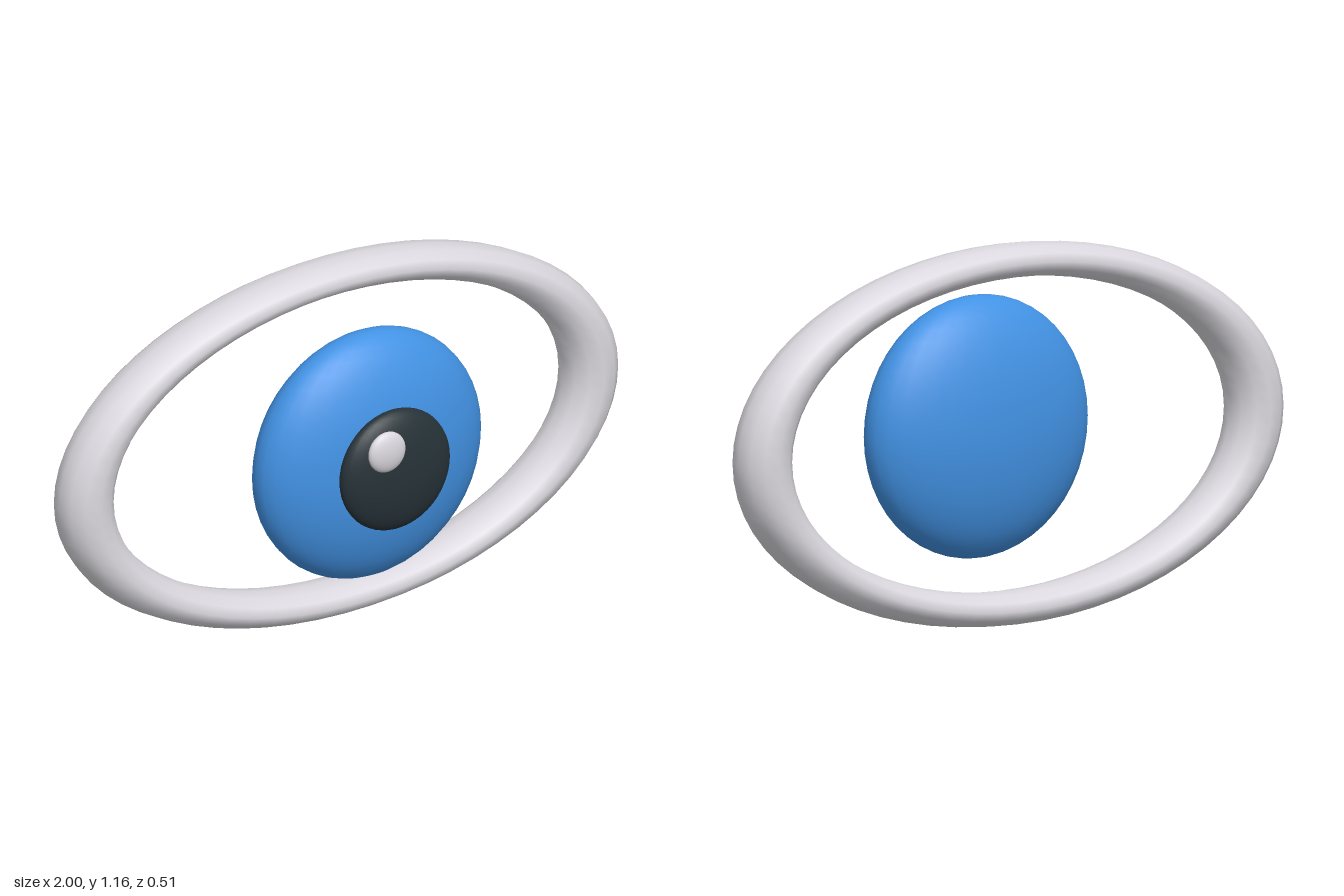
import * as THREE from 'three';

export function createModel() {
  const model = new THREE.Group();
  model.name = 'eye';

  const material = (name, color) => {
    const m = new THREE.MeshStandardMaterial({ color });
    m.name = name;
    return m;
  };
  const paleGrey = material('pale grey', 0xdad8de);
  const blue = material('blue', 0x4292e4);
  const black = material('blue black', 0x263238);

  const add = (name, geometry, mat, position, scale) => {
    const mesh = new THREE.Mesh(geometry, mat);
    mesh.name = name;
    mesh.position.set(...position);
    mesh.scale.set(...scale);
    model.add(mesh);
  };

  // Oval rim behind the eyeball
  add('eyelidRing', new THREE.TorusGeometry(0.91, 0.09, 12, 64), paleGrey,
    [0, 0.58, -0.165], [1, 0.58, 1]);

  // Flattened spheres stacked towards the front
  const ball = new THREE.SphereGeometry(1, 32, 24);
  add('iris', ball, blue, [0, 0.582, 0], [0.4, 0.4, 0.16]);
  add('pupil', ball, black, [0, 0.583, 0.152], [0.195, 0.195, 0.062]);
  add('highlight', ball, paleGrey, [-0.08, 0.687, 0.23], [0.065, 0.065, 0.025]);

  return model;
}
